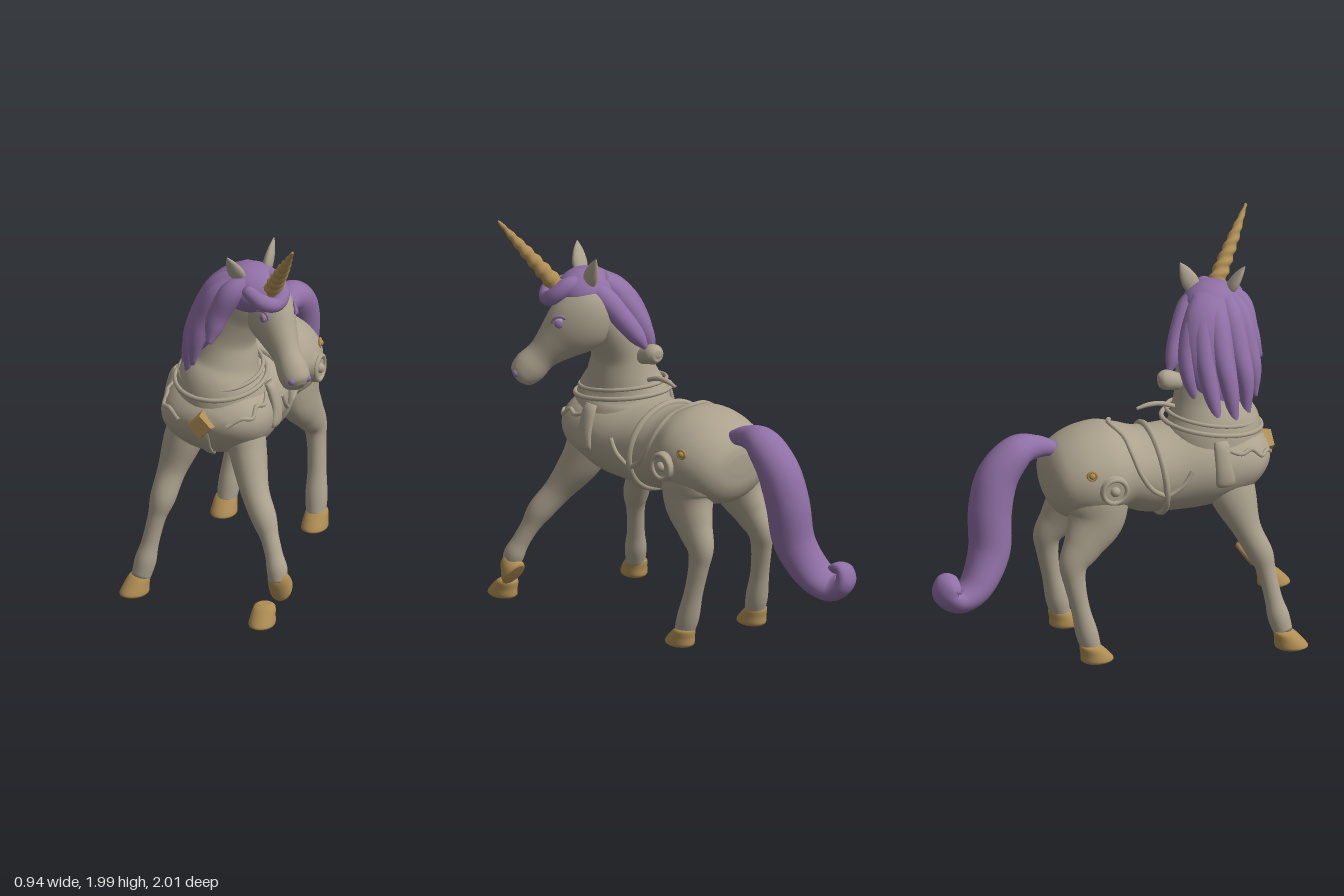
import * as THREE from 'three';

const V = (a) => new THREE.Vector3(...a);
const mat = (name, color) => Object.assign(new THREE.MeshStandardMaterial({ color }), { name });
const coat = mat('coat', 0xaca28e);
const hair = mat('hair', 0x9070a6);
const gold = mat('gold', 0xb08e54);
const CX = -0.065; // body centre line

// Spline sampler over knots [[x, y, z], radius or [ra, rb]]
function spline(knots) {
  const path = new THREE.CatmullRomCurve3(knots.map((k) => V(k[0])), false, 'catmullrom', 0.5);
  const radii = new THREE.CatmullRomCurve3(knots.map(([, r]) =>
    Array.isArray(r) ? new THREE.Vector3(r[0], r[1], 0) : new THREE.Vector3(r, r, 0)), false, 'catmullrom', 0.5);
  return { path, radii };
}

// Closed loft of elliptical sections along a spline
function taper(knots, { ref = [1, 0, 0], tangent = null, sides = 24, steps = 6, ridge = null } = {}) {
  const { path, radii } = spline(knots);
  const rows = (knots.length - 1) * steps;
  const pos = [], idx = [];
  let n = V(ref);
  for (let i = 0; i <= rows; i++) {
    const u = i / rows, p = path.getPoint(u), r = radii.getPoint(u);
    const t = tangent ? V(tangent) : path.getTangent(u);
    n = n.clone().addScaledVector(t, -n.dot(t)).normalize();
    const b = t.clone().cross(n);
    for (let j = 0; j < sides; j++) {
      const a = (j / sides) * Math.PI * 2, k = ridge ? ridge(a, u) : 1;
      const q = p.clone().addScaledVector(n, Math.cos(a) * Math.max(r.x, 0.001) * k)
        .addScaledVector(b, Math.sin(a) * Math.max(r.y, 0.001) * k);
      pos.push(q.x, q.y, q.z);
    }
  }
  const s = pos.length / 3;
  for (const u of [0, 1]) pos.push(...path.getPoint(u).toArray());
  for (let j = 0; j < sides; j++) {
    const k = (j + 1) % sides, e = rows * sides;
    for (let i = 0; i < rows; i++) {
      const a = i * sides + j, b = i * sides + k;
      idx.push(a, b, a + sides, b, b + sides, a + sides);
    }
    idx.push(s, k, j, s + 1, e + j, e + k);
  }
  const g = new THREE.BufferGeometry();
  g.setAttribute('position', new THREE.Float32BufferAttribute(pos, 3));
  g.setIndex(idx);
  g.computeVertexNormals();
  return g;
}

function add(parent, name, geo, material, p = [0, 0, 0], rot = [0, 0, 0]) {
  const m = new THREE.Mesh(geo, material);
  m.name = name;
  m.position.set(...p);
  m.rotation.set(...rot);
  parent.add(m);
  return m;
}

const cord = (pts, r, closed = false) =>
  new THREE.TubeGeometry(new THREE.CatmullRomCurve3(pts, closed), pts.length * 6, r, 8, closed);

// Barrel sections: z, bottom, top, half width
const bodyKnots = [
  [-0.385, 0.89, 0.98, 0.07], [-0.37, 0.8, 1.03, 0.16], [-0.32, 0.73, 1.09, 0.225], [-0.22, 0.7, 1.14, 0.268],
  [-0.1, 0.7, 1.16, 0.275], [0, 0.72, 1.14, 0.245], [0.1, 0.69, 1.11, 0.238], [0.25, 0.68, 1.11, 0.243],
  [0.42, 0.69, 1.13, 0.275], [0.57, 0.73, 1.12, 0.27], [0.66, 0.79, 1.08, 0.23], [0.72, 0.86, 1.02, 0.15],
  [0.745, 0.92, 0.97, 0.05],
].map(([z, lo, hi, w]) => [[CX, (lo + hi) / 2, z], [w, (hi - lo) / 2]]);
const bodySpline = spline(bodyKnots);

// Centre and radii of the barrel at a given z
function section(z) {
  let a = 0, b = 1;
  for (let i = 0; i < 30; i++) {
    const m = (a + b) / 2;
    if (bodySpline.path.getPoint(m).z < z) a = m; else b = m;
  }
  return { c: bodySpline.path.getPoint(a), r: bodySpline.radii.getPoint(a) };
}
function atAngle(z, a, off = 0.004) {
  const { c, r } = section(z);
  return new THREE.Vector3(CX + Math.cos(a) * (r.x + off), c.y + Math.sin(a) * (r.y + off), z);
}
function onBody(z, y, side, off) {
  const { c, r } = section(z);
  const a = Math.asin(THREE.MathUtils.clamp((y - c.y) / r.y, -1, 1));
  return atAngle(z, side > 0 ? a : Math.PI - a, off);
}

function hoofGeometry() {
  return taper([[[0, 0, 0.01], [0.056, 0.07]], [[0, 0.012, 0.01], [0.064, 0.082]], [[0, 0.045, -0.003], [0.06, 0.07]],
    [[0, 0.083, -0.025], [0.053, 0.052]], [[0, 0.098, -0.03], [0.03, 0.03]]], { tangent: [0, 1, 0] });
}

export function createModel() {
  const model = new THREE.Group();
  model.name = 'unicorn';

  // Body and neck
  add(model, 'body', taper(bodyKnots, { tangent: [0, 0, 1], sides: 40 }), coat);
  add(model, 'neck', taper([
    [[CX, 0.98, 0.47], [0.24, 0.25]], [[CX, 1.1, 0.47], [0.21, 0.235]], [[-0.05, 1.2, 0.46], [0.165, 0.182]],
    [[-0.03, 1.32, 0.455], [0.135, 0.15]], [[0.03, 1.45, 0.46], [0.122, 0.135]], [[0.11, 1.57, 0.49], [0.1, 0.11]],
    [[0.14, 1.64, 0.5], [0.05, 0.06]]], { sides: 32 }), coat);

  // Legs
  add(model, 'frontRightLeg', taper([
    [[-0.17, 1.0, 0.48], [0.07, 0.08]], [[-0.205, 0.88, 0.5], [0.095, 0.12]], [[-0.24, 0.75, 0.53], [0.095, 0.11]],
    [[-0.28, 0.6, 0.58], 0.07], [[-0.305, 0.47, 0.64], 0.062], [[-0.325, 0.38, 0.665], 0.045],
    [[-0.35, 0.25, 0.69], 0.043], [[-0.367, 0.16, 0.71], 0.053], [[-0.383, 0.08, 0.73], 0.047]]), coat);
  add(model, 'frontLeftLeg', taper([
    [[0.03, 1.0, 0.48], [0.07, 0.08]], [[0.075, 0.88, 0.53], [0.095, 0.12]], [[0.115, 0.75, 0.575], [0.09, 0.105]],
    [[0.18, 0.6, 0.66], 0.07], [[0.25, 0.49, 0.72], 0.062], [[0.29, 0.41, 0.75], 0.046], [[0.325, 0.33, 0.78], 0.044],
    [[0.347, 0.27, 0.8], 0.051], [[0.357, 0.21, 0.815], 0.044]]), coat);
  for (const s of [1, -1]) {
    const side = s > 0 ? 'Left' : 'Right', X = (x) => CX + s * x;
    add(model, 'hind' + side + 'Leg', taper([
      [[X(0.125), 1.0, -0.18], [0.08, 0.1]], [[X(0.14), 0.87, -0.17], [0.115, 0.155]],
      [[X(0.155), 0.74, -0.175], [0.1, 0.148]], [[X(0.18), 0.62, -0.245], [0.074, 0.103]],
      [[X(0.195), 0.53, -0.3], [0.058, 0.075]], [[X(0.205), 0.44, -0.3], [0.047, 0.055]],
      [[X(0.217), 0.3, -0.275], 0.046], [[X(0.225), 0.17, -0.245], 0.054], [[X(0.232), 0.08, -0.22], 0.047]]), coat);
    add(model, 'hind' + side + 'Hoof', hoofGeometry(), gold, [X(0.235), 0.02, -0.205]);
  }

  // Front hooves and the spare hoof
  add(model, 'frontRightHoof', hoofGeometry(), gold, [-0.4, 0, 0.755], [0, -0.4, 0]);
  const raised = add(model, 'frontLeftHoof', hoofGeometry(), gold, [0.362, 0.175, 0.775], [0.95, 0.15, 0]);
  raised.scale.set(0.92, 0.95, 0.88);
  add(model, 'looseHoof', hoofGeometry(), gold, [0.315, 0.02, 0.91]);

  // Head, built along its own axis and turned to the left
  const head = new THREE.Group();
  head.name = 'head';
  head.position.set(0.17, 1.55, 0.48);
  head.rotation.set(0.8, 0.86, 0, 'YXZ');
  model.add(head);
  add(head, 'skull', taper([
    [[0, 0, -0.14], 0.02], [[0, 0, -0.11], [0.07, 0.085]], [[0, -0.005, -0.05], [0.102, 0.13]],
    [[0, -0.012, 0.03], [0.115, 0.155]], [[0, -0.012, 0.11], [0.11, 0.147]], [[0, -0.006, 0.2], [0.088, 0.112]],
    [[0, 0, 0.3], [0.068, 0.079]], [[0, 0, 0.39], [0.075, 0.083]], [[0, 0, 0.45], [0.066, 0.067]],
    [[0, 0, 0.475], [0.03, 0.03]]], { tangent: [0, 0, 1], sides: 32 }), coat);
  for (const s of [1, -1]) {
    const eye = add(head, 'eyeball', new THREE.SphereGeometry(0.03, 20, 14), coat, [s * 0.074, 0.073, 0.11]);
    eye.scale.set(0.8, 1, 1);
    const iris = add(head, 'iris', new THREE.SphereGeometry(0.021, 16, 12), hair, [s * 0.093, 0.073, 0.115]);
    iris.scale.x = 0.45;
    add(head, 'eyelash', cord([[0.101, 0.07, 0.07], [0.087, 0.095, 0.085], [0.079, 0.106, 0.11], [0.074, 0.097, 0.14]]
      .map(([x, y, z]) => V([s * x, y, z])), 0.008), hair);
    const nostril = add(head, 'nostril', new THREE.SphereGeometry(0.021, 14, 10), hair, [s * 0.045, 0.034, 0.45]);
    nostril.scale.set(0.8, 1, 0.8);
  }

  // Ears
  for (const [a, b, ref] of [[[0.09, 1.68, 0.6], [0.045, 1.835, 0.68], [1, 0, 0]],
    [[0.165, 1.67, 0.475], [0.18, 1.84, 0.395], [0, 0, 1]]]) {
    const at = (t) => V(a).lerp(V(b), t).toArray();
    add(model, 'ear', taper([[at(0), [0.03, 0.02]], [at(0.4), [0.043, 0.024]], [at(0.75), [0.028, 0.015]], [at(1), 0.003]],
      { ref, sides: 14 }), coat);
  }

  // Spiral horn
  add(model, 'horn', taper([[[0.225, 1.625, 0.57], 0.046], [[0.295, 1.747, 0.653], 0.037],
    [[0.365, 1.868, 0.737], 0.026], [[0.435, 1.99, 0.82], 0.006]],
  { steps: 30, sides: 20, ridge: (a, u) => 1 + 0.12 * Math.cos(2 * a - u * 52) }), gold);

  // Mane: crown, inner mass and hanging locks
  const crown = add(model, 'crownHair', new THREE.SphereGeometry(1, 32, 24), hair, [0.115, 1.63, 0.535]);
  crown.scale.set(0.155, 0.122, 0.145);
  add(model, 'maneMass', taper([[[0.08, 1.7, 0.53], [0.1, 0.05]], [[0, 1.6, 0.51], [0.155, 0.1]],
    [[-0.07, 1.47, 0.49], [0.165, 0.1]], [[-0.12, 1.33, 0.49], [0.14, 0.08]], [[-0.17, 1.2, 0.52], [0.06, 0.03]]],
  { ref: [0, 0, 1] }), hair);
  const locks = [
    [[0.16, 1.69, 0.52], [0.12, 1.63, 0.425], [0.06, 1.53, 0.355], [0, 1.43, 0.3], [-0.03, 1.37, 0.265]],
    [[0.08, 1.69, 0.5], [0.01, 1.61, 0.42], [-0.06, 1.48, 0.36], [-0.11, 1.36, 0.345], [-0.15, 1.23, 0.37]],
    [[0.07, 1.69, 0.53], [-0.03, 1.61, 0.45], [-0.12, 1.46, 0.42], [-0.18, 1.3, 0.43], [-0.235, 1.13, 0.46]],
    [[0.06, 1.69, 0.55], [-0.05, 1.61, 0.51], [-0.145, 1.46, 0.5], [-0.2, 1.3, 0.52], [-0.235, 1.1, 0.54]],
    [[0.07, 1.69, 0.58], [-0.04, 1.62, 0.58], [-0.125, 1.47, 0.59], [-0.17, 1.32, 0.61], [-0.18, 1.1, 0.61]],
    [[0.08, 1.69, 0.6], [-0.02, 1.61, 0.63], [-0.085, 1.48, 0.645], [-0.12, 1.36, 0.665], [-0.14, 1.23, 0.67]],
    [[0.13, 1.69, 0.6], [0.06, 1.64, 0.655], [0, 1.53, 0.675], [-0.02, 1.45, 0.7], [-0.03, 1.385, 0.735]],
  ];
  for (const pts of locks) {
    const r = [0.04, 0.06, 0.055, 0.042, 0.012];
    add(model, 'maneLock', taper(pts.map((p, i) => [p, r[i]]), { sides: 16, ref: [0, 0, 1] }), hair);
  }
  // Forelock looping over the brow in front of the horn
  add(model, 'forelock', taper([[[0.13, 1.68, 0.5], 0.035], [[0.225, 1.685, 0.53], 0.045], [[0.285, 1.635, 0.575], 0.042],
    [[0.28, 1.605, 0.64], 0.036], [[0.22, 1.63, 0.685], 0.04], [[0.13, 1.665, 0.65], 0.03]], { sides: 16, ref: [0, 1, 0] }), hair);

  // Tail with a curled tip
  add(model, 'tail', taper([
    [[-0.06, 1.06, -0.33], 0.035], [[-0.065, 1.085, -0.43], 0.058], [[-0.07, 1.07, -0.53], [0.092, 0.083]],
    [[-0.08, 0.96, -0.63], 0.103], [[-0.1, 0.8, -0.675], 0.107], [[-0.13, 0.6, -0.69], 0.103],
    [[-0.18, 0.45, -0.77], [0.1, 0.082]], [[-0.215, 0.395, -0.87], [0.09, 0.064]], [[-0.23, 0.435, -0.945], [0.08, 0.05]],
    [[-0.235, 0.495, -0.935], [0.072, 0.036]], [[-0.23, 0.485, -0.885], [0.062, 0.024]]], { steps: 8 }), hair);

  // Neck rings
  for (const [y, rx, rz, r] of [[1.105, 0.22, 0.245, 0.012], [1.145, 0.2, 0.222, 0.01]]) {
    const pts = Array.from({ length: 24 }, (_, i) => {
      const a = (i / 24) * Math.PI * 2;
      return new THREE.Vector3(CX + rx * Math.cos(a), y - 0.035 * Math.sin(a), 0.47 + rz * Math.sin(a));
    });
    add(model, 'neckRing', cord(pts, r, true), coat);
  }

  // Girth strap
  add(model, 'girth', cord(Array.from({ length: 28 }, (_, i) => {
    const a = (i / 28) * Math.PI * 2;
    return atAngle(0.16 - 0.02 * Math.sin(a), a);
  }), 0.017, true), coat);

  // Saddle edge running over the back
  const edge = [[0.17, 0.83], [0.09, 0.88], [0.03, 0.97], [0, 1.06], [-0.015, 1.12]];
  add(model, 'saddleEdge', cord([...edge.map(([z, y]) => onBody(z, y, 1)), atAngle(-0.055, Math.PI / 2),
    ...edge.map(([z, y]) => onBody(z, y, -1)).reverse()], 0.012), coat);

  // Side tack
  for (const s of [1, -1]) {
    add(model, 'sideStrap', cord([[0.29, 0.95], [0.25, 0.89], [0.2, 0.85], [0.16, 0.83]]
      .map(([z, y]) => onBody(z, y, s)), 0.012), coat);
    add(model, 'breastScallop', cord([[0.46, 1.04], [0.54, 1.01], [0.6, 1.02], [0.65, 0.98], [0.69, 0.985], [0.73, 0.95]]
      .map(([z, y]) => onBody(z, y, s, 0.002)), 0.011), coat);
    add(model, 'sideFlap', taper([[[CX + s * 0.232, 1.085, 0.44], [0.018, 0.034]], [[CX + s * 0.252, 1.05, 0.44], [0.024, 0.04]],
      [[CX + s * 0.276, 0.96, 0.442], [0.022, 0.042]], [[CX + s * 0.276, 0.89, 0.45], [0.022, 0.05]],
      [[CX + s * 0.268, 0.865, 0.45], [0.014, 0.042]]]), coat);
    const rosette = new THREE.Group();
    rosette.name = 'rosette';
    rosette.position.copy(onBody(-0.12, 0.92, s, 0));
    rosette.rotation.y = s * Math.PI / 2;
    model.add(rosette);
    add(rosette, 'rosetteDisc', new THREE.CylinderGeometry(0.068, 0.075, 0.03, 28), coat, [0, 0, 0], [Math.PI / 2, 0, 0]);
    add(rosette, 'rosetteRim', new THREE.TorusGeometry(0.06, 0.012, 8, 28), coat, [0, 0, 0.014]);
    add(rosette, 'rosetteCentre', new THREE.SphereGeometry(0.026, 16, 12), coat, [0, 0, 0.012]);
    const p = onBody(-0.225, 1, s, 0.004);
    add(model, 'goldStud', new THREE.SphereGeometry(0.017, 14, 10), gold, p.toArray());
    add(model, 'goldStudRing', new THREE.TorusGeometry(0.021, 0.007, 8, 20), gold, p.toArray(), [0, s * (Math.PI / 2 + 0.25), 0]);
  }

  // Chest diamond and the strap below it
  const gem = new THREE.CylinderGeometry(0.06, 0.072, 0.05, 4).toNonIndexed();
  gem.computeVertexNormals();
  add(model, 'chestDiamond', gem, gold, [CX, 0.95, 0.75], [Math.PI / 2, 0, 0]);
  add(model, 'chestStrap', taper([[[CX, 0.94, 0.735], [0.045, 0.014]], [[CX, 0.86, 0.718], [0.035, 0.014]],
    [[CX, 0.785, 0.658], [0.022, 0.014]], [[CX, 0.725, 0.57], [0.01, 0.01]]]), coat);

  // Knob behind the neck and the thin rod over the withers
  add(model, 'neckKnob', taper([[[-0.04, 1.29, 0.36], 0.03], [[-0.05, 1.325, 0.29], 0.044], [[-0.055, 1.34, 0.24], 0.05],
    [[-0.055, 1.345, 0.21], 0.036], [[-0.055, 1.345, 0.2], 0.01]], { sides: 18 }), coat);
  add(model, 'withersRod', taper([[[-0.06, 1.19, 0.3], 0.011], [[-0.06, 1.22, 0.22], 0.012], [[-0.06, 1.223, 0.15], 0.012],
    [[-0.06, 1.21, 0.09], 0.008]], { sides: 10 }), coat);
  return model;
}
